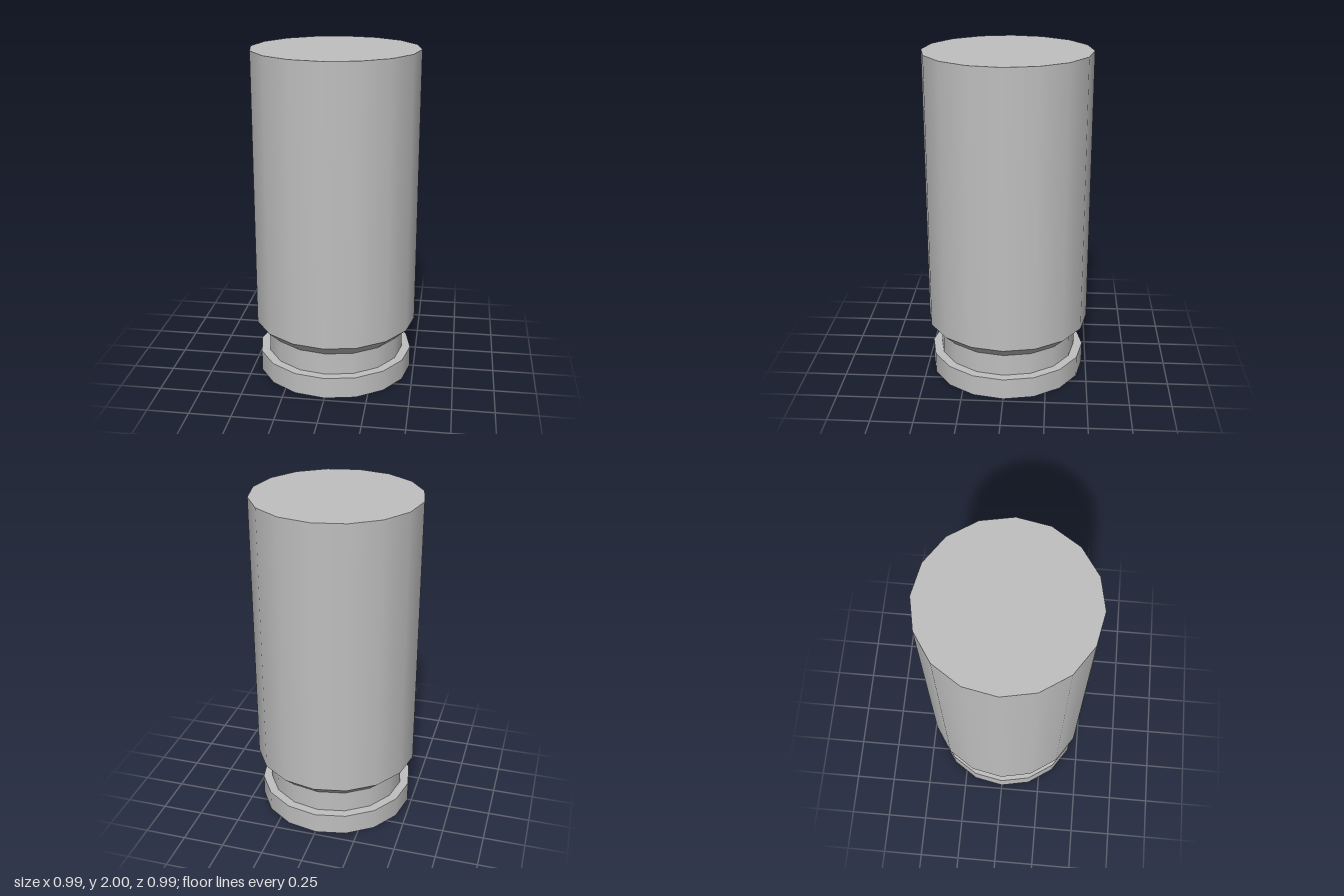
import * as THREE from 'three';
import { mergeGeometries } from 'three/addons/utils/BufferGeometryUtils.js';

const SIDES = 16;

// Turn each profile segment separately: smooth around, sharp between bands
function turned(name, profile, material) {
  const bands = profile.slice(1).map((p, i) =>
    new THREE.LatheGeometry([new THREE.Vector2(...profile[i]), new THREE.Vector2(...p)], SIDES));
  const mesh = new THREE.Mesh(mergeGeometries(bands), material);
  mesh.name = name;
  return mesh;
}

export function createModel() {
  const metal = new THREE.MeshStandardMaterial({ color: 0xbfbfbf });
  metal.name = 'grey metal';

  const group = new THREE.Group();
  group.name = 'casing';
  group.add(
    // flanged base with its flat underside and ledge
    turned('baseRim', [[0, 0], [0.475, 0], [0.475, 0.13], [0.421, 0.13]], metal),
    // recessed groove wall
    turned('groove', [[0.421, 0.13], [0.421, 0.264]], metal),
    // slope widening to the body
    turned('shoulder', [[0.421, 0.264], [0.496, 0.335]], metal),
    // tall body with flat top
    turned('body', [[0.496, 0.335], [0.496, 2], [0, 2]], metal),
  );
  return group;
}
